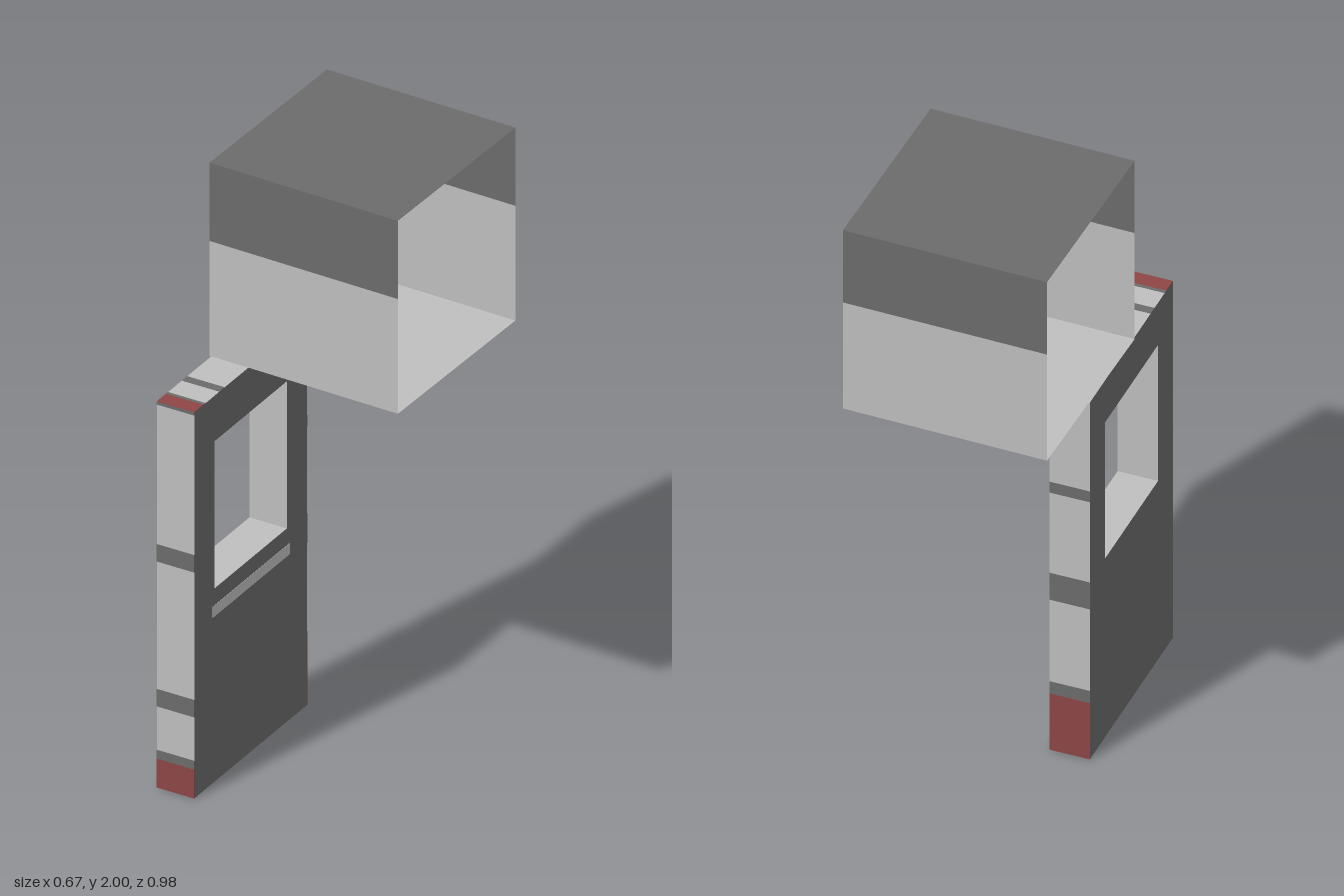
import * as THREE from 'three';

const mat = (name, color, side = THREE.FrontSide) => {
  const m = new THREE.MeshStandardMaterial({ color, side });
  m.name = name;
  return m;
};

export function createModel() {
  const dark = mat('dark grey', 0x6b6b6b, THREE.DoubleSide);
  const light = mat('light grey', 0xbebebe, THREE.DoubleSide);
  const red = mat('dull red', 0x8e4545);
  const model = new THREE.Group();
  model.name = 'doorAndCanopy';

  const add = (parent, name, geometry, material) => {
    const mesh = new THREE.Mesh(geometry, material);
    mesh.name = name;
    parent.add(mesh);
    return mesh;
  };

  // Door panel, turned very slightly about its upright axis
  const H = 1.332, L = 0.66, T = 0.131;
  const door = new THREE.Group();
  door.name = 'door';
  door.position.set(-0.263, 0, 0.158);
  door.rotation.y = 0.019;
  model.add(door);

  const rect = (path, x0, y0, x1, y1) =>
    path.moveTo(x0, y0).lineTo(x1, y0).lineTo(x1, y1).lineTo(x0, y1).closePath();
  const outline = rect(new THREE.Shape(), -L / 2, 0, L / 2, H);
  outline.holes.push(rect(new THREE.Path(), -0.212, 0.667, 0.212, 1.175));
  const panel = new THREE.ExtrudeGeometry(outline, { depth: T, bevelEnabled: false });
  panel.translate(0, 0, -T / 2).rotateY(Math.PI / 2);
  add(door, 'doorPanel', panel, [dark, light]);

  // Painted bands on the two narrow edges: [material, bottom, top]
  const P = 0.002;
  const edgeBands = (name, z, bands) => bands.forEach(([m, y0, y1]) =>
    add(door, name, new THREE.BoxGeometry(T, y1 - y0, P), m).position.set(0, (y0 + y1) / 2, z));
  edgeBands('frontEdgeBand', L / 2, [
    [red, 0, 0.1], [dark, 0.1, 0.13], [dark, 0.28, 0.34], [dark, 0.78, 0.84], [dark, 1.322, H],
  ]);
  edgeBands('backEdgeBand', -L / 2, [
    [red, 0, 0.21], [dark, 0.21, 0.255], [dark, 0.56, 0.66], [dark, 0.96, 1.0],
  ]);

  // Painted bands on the top edge: [material, back, front]
  for (const [m, z0, z1] of [[dark, 0.153, 0.183], [dark, 0.265, 0.277], [red, 0.277, L / 2]])
    add(door, 'topEdgeBand', new THREE.BoxGeometry(T, P, z1 - z0), m).position.set(0, H, (z0 + z1) / 2);

  // Pale strip below the window
  add(door, 'windowStrip', new THREE.BoxGeometry(P, 0.038, 0.45), light).position.set(T / 2, 0.59, -0.003);

  // Canopy: thin box open on both sides
  const canopy = new THREE.Group();
  canopy.name = 'canopy';
  canopy.position.z = -0.16;
  model.add(canopy);
  const W = 0.666, y0 = 1.334, yBand = 1.73, y1 = 2;

  for (const s of [1, -1]) {
    const side = s > 0 ? 'front' : 'back';
    for (const [name, a, b, m] of [['LowerWall', y0, yBand, light], ['UpperWall', yBand, y1, dark]]) {
      const wall = add(canopy, side + name, new THREE.PlaneGeometry(W, b - a), m);
      wall.position.set(0, (a + b) / 2, s * W / 2);
      if (s < 0) wall.rotation.y = Math.PI;
    }
  }
  for (const [name, y, m] of [['canopyFloor', y0, light], ['canopyRoof', y1, dark]]) {
    const slab = add(canopy, name, new THREE.PlaneGeometry(W, W), m);
    slab.rotation.x = -Math.PI / 2;
    slab.position.y = y;
  }

  return model;
}
